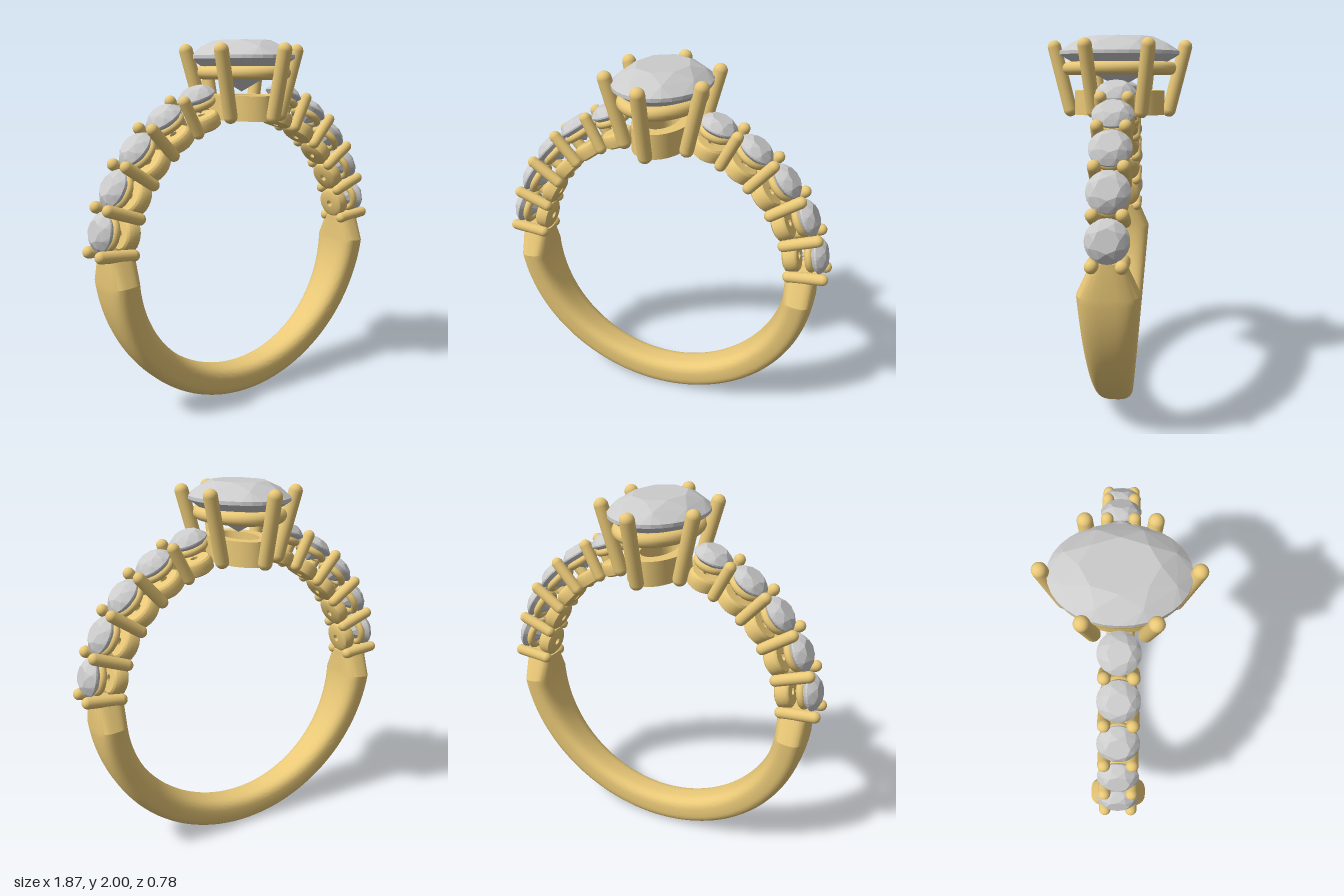
import * as THREE from 'three';
import { toCreasedNormals } from 'three/addons/utils/BufferGeometryUtils.js';
import { ConvexGeometry } from 'three/addons/geometries/ConvexGeometry.js';

const gold = new THREE.MeshStandardMaterial({ color: 0xe9c877 });
const gem = new THREE.MeshStandardMaterial({ color: 0xcccccc, flatShading: true });
const CY = 0.877, INNER = 0.71, OUTER = 0.877;
const rad = THREE.MathUtils.degToRad;

function add(parent, name, geometry, material = gold) {
  const mesh = new THREE.Mesh(geometry, material);
  mesh.name = name;
  parent.add(mesh);
  return mesh;
}

// Round-ended rod between two points
function rod(parent, name, a, b, r) {
  const dir = b.clone().sub(a);
  const mesh = add(parent, name, new THREE.CapsuleGeometry(r, dir.length() - 2 * r, 8, 20));
  mesh.position.copy(a).add(b).multiplyScalar(0.5);
  mesh.quaternion.setFromUnitVectors(new THREE.Vector3(0, 1, 0), dir.normalize());
}

// Faceted brilliant with the girdle at y = 0; rx, rz are its half widths
function brilliant(rx, rz, crown, girdle, pavilion) {
  const pts = [];
  const ring = (n, r, y, turn = 0) => {
    for (let i = 0; i < n; i++) {
      const t = (i + turn) / n * Math.PI * 2;
      pts.push(new THREE.Vector3(Math.cos(t) * r * rx, y, Math.sin(t) * r * rz));
    }
  };
  ring(8, 0.55, crown);
  ring(8, 0.83, crown * 0.55, 0.5);
  ring(32, 1, 0);
  ring(32, 1, -girdle);
  ring(8, 0.55, -girdle - (pavilion - girdle) * 0.5, 0.5);
  pts.push(new THREE.Vector3(0, -pavilion, 0));
  return new ConvexGeometry(pts);
}

// Band swept round the lower half, widest just under its bevelled shoulders
function shankGeometry() {
  const N = 80, M = 48, pos = [], idx = [];
  const start = 174, shoulder = 185, bevel = 6;
  const angles = [start];
  for (let i = 0; i <= N; i++) angles.push(shoulder + i * (360 - 2 * (shoulder - 180) + 180 - 360) / N);
  angles.push(540 - start);
  const sq = (v) => Math.sign(v) * Math.pow(Math.abs(v), 2 / 3);
  angles.forEach((deg, i) => {
    const th = rad(deg), end = i === 0 || i === angles.length - 1;
    const y = 1 + Math.sin(th);
    const w = end ? 0.078 : 0.09 + 0.058 * Math.min(1, y / 0.91);
    for (let j = 0; j < M; j++) {
      const t = j / M * Math.PI * 2;
      const r = (INNER + OUTER) / 2 + sq(Math.cos(t)) * (OUTER - INNER) / 2;
      pos.push(r * Math.cos(th), CY + r * Math.sin(th), sq(Math.sin(t)) * w);
    }
  });
  const rows = angles.length;
  for (let i = 0; i < rows - 1; i++) for (let j = 0; j < M; j++) {
    const k = (j + 1) % M, a = i * M, b = a + M;
    idx.push(a + j, b + j, a + k, b + j, b + k, a + k);
  }
  // End caps
  [0, rows - 1].forEach((row) => {
    const th = rad(angles[row]), r = (INNER + OUTER) / 2, c = pos.length / 3;
    pos.push(r * Math.cos(th), CY + r * Math.sin(th), 0);
    for (let j = 0; j < M; j++) {
      const p = row * M + j, q = row * M + (j + 1) % M;
      if (row) idx.push(c, q, p); else idx.push(c, p, q);
    }
  });
  const g = new THREE.BufferGeometry();
  g.setAttribute('position', new THREE.Float32BufferAttribute(pos, 3));
  g.setIndex(idx);
  return toCreasedNormals(g, 0.36);
}

// Drilled cup under each small stone
function cupGeometry() {
  const profile = [[0.02, 0.705], [0.07, 0.705], [0.086, 0.715], [0.09, 0.745], [0.086, 0.775],
    [0.075, 0.785], [0.02, 0.785], [0.02, 0.705]];
  return toCreasedNormals(new THREE.LatheGeometry(profile.map(([x, y]) => new THREE.Vector2(x, y)), 32), 0.7);
}

function createShoulders(ring) {
  const stone = brilliant(0.103, 0.103, 0.042, 0.008, 0.095);
  const cup = cupGeometry();
  const seat = new THREE.TorusGeometry(0.073, 0.021, 12, 36).rotateX(Math.PI / 2);
  const first = 5.5, step = 14.4;
  for (const side of [1, -1]) for (let i = 0; i < 5; i++) {
    // Paired side bars, ending as claws
    const t = rad(first + i * step);
    for (const z of [0.068, -0.068]) {
      const at = (r) => new THREE.Vector3(side * r * Math.cos(t), CY + r * Math.sin(t), z);
      rod(ring, 'shoulderClaw', at(0.7), at(0.94), 0.031);
    }
    // Stone with its seat and cup, pointing out from the ring centre
    const unit = new THREE.Group();
    unit.name = 'shoulderStoneSetting';
    unit.position.y = CY;
    unit.rotation.z = side * (rad(first + (i + 0.5) * step) - Math.PI / 2);
    add(unit, 'shoulderStone', stone, gem).position.y = 0.89;
    add(unit, 'stoneSeat', seat).position.y = 0.845;
    add(unit, 'stoneCup', cup);
    ring.add(unit);
  }
}

function createHead() {
  const head = new THREE.Group();
  head.name = 'head';
  add(head, 'centreStone', brilliant(0.25, 0.325, 0.078, 0.018, 0.19), gem).position.y = 1.922;

  // Oval rail under the stone
  const oval = [];
  for (let i = 0; i < 32; i++) {
    const t = i / 32 * Math.PI * 2;
    oval.push(new THREE.Vector3(Math.cos(t) * 0.19, 1.832, Math.sin(t) * 0.275));
  }
  add(head, 'galleryRail', new THREE.TubeGeometry(new THREE.CatmullRomCurve3(oval, true), 72, 0.035, 14, true));

  // Oval base collar with an open centre
  const shape = new THREE.Shape().absellipse(0, 0, 0.15, 0.245, 0, Math.PI * 2);
  shape.holes.push(new THREE.Path().absellipse(0, 0, 0.085, 0.165, 0, Math.PI * 2));
  const collar = new THREE.ExtrudeGeometry(shape, { depth: 0.13, bevelEnabled: false, curveSegments: 40 });
  add(head, 'baseCollar', toCreasedNormals(collar.rotateX(-Math.PI / 2), 0.6)).position.y = 1.585;

  // Six leaning prongs
  const prong = (x0, z0, x1, z1) => rod(head, 'prong',
    new THREE.Vector3(x0, 1.575, z0), new THREE.Vector3(x1, 1.98, z1), 0.037);
  for (const s of [1, -1]) {
    prong(0, s * 0.262, 0, s * 0.362);
    for (const x of [1, -1]) prong(x * 0.16, s * 0.122, x * 0.258, s * 0.165);
  }
  return head;
}

export function createModel() {
  const ring = new THREE.Group();
  ring.name = 'ring';
  add(ring, 'shank', shankGeometry());
  createShoulders(ring);
  ring.add(createHead());
  return ring;
}
